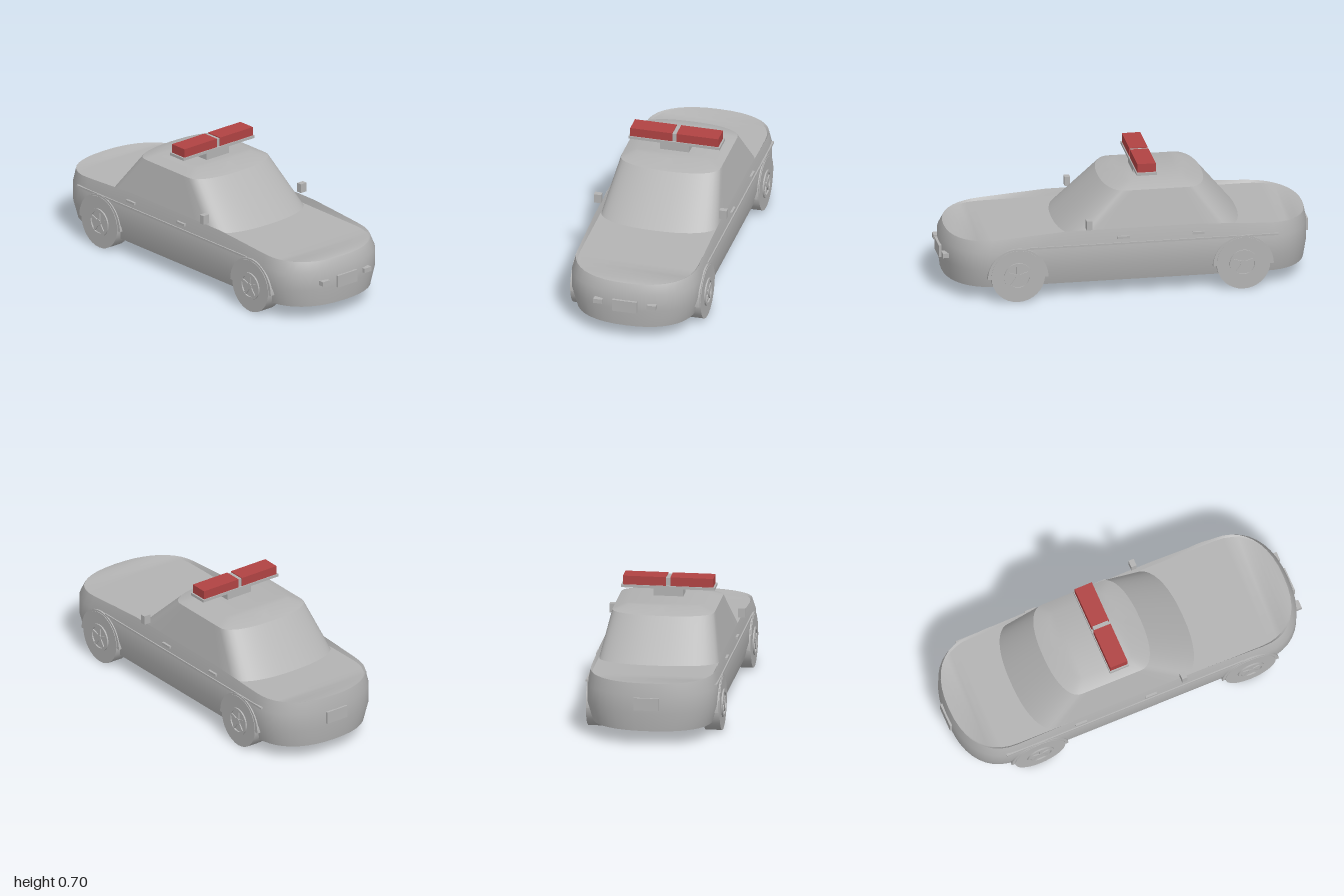
import * as THREE from 'three';
import { toCreasedNormals } from 'three/addons/utils/BufferGeometryUtils.js';

// Closed plan outline with rounded ends: half width w, ends zf / zr, end depths df / dr
function outline(w, zf, zr, df, dr, y, n = 10, sides = 8) {
  const e = 2 / 2.3, half = [];
  const arc = (k) => {
    const t = (k / n) * Math.PI / 2;
    return [Math.sin(t) ** e, Math.max(0, Math.cos(t)) ** e];
  };
  for (let k = 0; k <= n; k++) {
    const [s, c] = arc(k);
    half.push([k ? w * s : 0, zf - df + (k < n ? df * c : 0)]);
  }
  for (let k = 1; k < sides; k++) half.push([w, THREE.MathUtils.lerp(zf - df, zr + dr, k / sides)]);
  for (let k = n; k >= 0; k--) {
    const [s, c] = arc(k);
    half.push([k ? w * s : 0, zr + dr - (k < n ? dr * c : 0)]);
  }
  const mirrored = half.slice(1, -1).reverse().map(([x, z]) => [-x, z]);
  return [...half, ...mirrored].map(([x, z]) => [x, typeof y === 'function' ? y(z) : y, z]);
}

// Skin stacked outlines from bottom to top and close both ends
function loft(rings, crease) {
  const m = rings[0].length, index = [];
  const quad = (a, b, c, d) => index.push(a, b, c, a, c, d);
  for (let j = 0; j < rings.length - 1; j++)
    for (let i = 0; i < m; i++) {
      const k = (i + 1) % m, a = j * m, b = a + m;
      quad(a + i, a + k, b + k, b + i);
    }
  const top = (rings.length - 1) * m;
  for (let i = 0; i < m / 2; i++) {
    const l = (m - i) % m, l2 = m - i - 1;
    quad(top + i, top + i + 1, top + l2, top + l);
    quad(l, l2, i + 1, i);
  }
  const g = new THREE.BufferGeometry();
  g.setAttribute('position', new THREE.Float32BufferAttribute(rings.flat(2), 3));
  g.setIndex(index);
  return toCreasedNormals(g, crease);
}

export function createModel() {
  const car = new THREE.Group();
  car.name = 'patrolCar';
  const grey = new THREE.MeshStandardMaterial({ color: 0xb3b3b3 });
  grey.name = 'grey';
  const red = new THREE.MeshStandardMaterial({ color: 0xb04343 });
  red.name = 'lampRed';

  const add = (name, geo, mat = grey, parent = car) => {
    const mesh = new THREE.Mesh(geo, mat);
    mesh.name = name;
    parent.add(mesh);
    return mesh;
  };
  // Box given by its limits on each axis
  const box = (name, x0, x1, y0, y1, z0, z1, mat) =>
    add(name, new THREE.BoxGeometry(x1 - x0, y1 - y0, z1 - z0), mat)
      .position.set((x0 + x1) / 2, (y0 + y1) / 2, (z0 + z1) / 2);

  // Lower body, with slightly raised shoulders around the hood and trunk
  const shoulder = (z) => {
    if (z > 0.36) return 0.375 - 0.045 * (z - 0.36) / 0.6;
    if (z < -0.36) return 0.375 - 0.03 * (-0.36 - z) / 0.62;
    return 0.375;
  };
  add('body', loft([
    outline(0.323, 0.975, -0.975, 0.26, 0.26, 0.08),
    outline(0.351, 0.988, -0.99, 0.27, 0.27, 0.18),
    outline(0.351, 0.988, -0.99, 0.27, 0.27, 0.28),
    outline(0.334, 0.962, -0.978, 0.26, 0.26, shoulder),
    outline(0.324, 0.955, -0.972, 0.26, 0.26, (z) => 0.338 - 0.006 * z),
  ], 0.6));

  // Cabin with sloping glass and chamfered roof
  add('cabin', loft([
    outline(0.325, 0.385, -0.625, 0.14, 0.13, 0.33),
    outline(0.275, 0.13, -0.43, 0.11, 0.11, 0.565),
    outline(0.2, 0.035, -0.345, 0.06, 0.06, 0.593),
  ], 0.45));

  // Roof light bar
  box('lightBarFoot', -0.08, 0.08, 0.585, 0.637, -0.135, -0.05);
  box('lightBarTray', -0.252, 0.252, 0.636, 0.651, -0.15, -0.04);
  box('lightBarDivider', -0.012, 0.012, 0.65, 0.694, -0.14, -0.05);
  box('leftLamp', 0.012, 0.243, 0.651, 0.699, -0.145, -0.045, red);
  box('rightLamp', -0.243, -0.012, 0.651, 0.699, -0.145, -0.045, red);

  // Number plates
  box('frontPlate', -0.068, 0.068, 0.173, 0.24, 0.97, 1);
  box('rearPlate', -0.068, 0.068, 0.2, 0.268, -1, -0.97);

  // Shapes drawn in side view, extruded along x and centred on their thickness
  const sideways = (shape, depth) => new THREE.ExtrudeGeometry(shape,
    { depth, bevelEnabled: false, curveSegments: 20 }).translate(0, 0, -depth / 2).rotateY(Math.PI / 2);
  const archShape = new THREE.Shape();
  archShape.absarc(0, 0, 0.164, 0, Math.PI, false);
  archShape.absarc(0, 0, 0.14, Math.PI, 0, true);
  const rimShape = new THREE.Shape().absarc(0, 0, 0.076, 0, Math.PI * 2, false);
  rimShape.holes.push(new THREE.Path().absarc(0, 0, 0.06, 0, Math.PI * 2, true));

  const archGeo = toCreasedNormals(sideways(archShape, 0.04), 0.6);
  const rimGeo = toCreasedNormals(sideways(rimShape, 0.012), 0.6);
  const tyreGeo = new THREE.CylinderGeometry(0.145, 0.145, 0.088, 32).rotateZ(Math.PI / 2);
  const capGeo = new THREE.CylinderGeometry(0.018, 0.018, 0.012, 16).rotateZ(Math.PI / 2);
  const spokeGeo = new THREE.BoxGeometry(0.01, 0.062, 0.018).translate(0, 0.033, 0);

  for (const s of [1, -1]) {
    const side = s > 0 ? 'left' : 'right';
    const sideBox = (name, x0, x1, ...rest) =>
      box(side + name, Math.min(s * x0, s * x1), Math.max(s * x0, s * x1), ...rest);

    sideBox('Mirror', 0.326, 0.366, 0.386, 0.436, 0.22, 0.25);
    sideBox('Headlight', 0.123, 0.172, 0.204, 0.229, 0.94, 0.996);
    sideBox('FrontDoorHandle', 0.335, 0.354, 0.322, 0.335, 0.015, 0.08);
    sideBox('RearDoorHandle', 0.335, 0.354, 0.322, 0.335, -0.39, -0.325);
    sideBox('SideTrim', 0.34, 0.354, 0.29, 0.3, -0.79, 0.58);

    for (const [end, z] of [['Front', 0.62], ['Rear', -0.6]]) {
      add(side + end + 'Arch', archGeo).position.set(s * 0.337, 0.135, z);
      const wheel = new THREE.Group();
      wheel.name = side + end + 'Wheel';
      wheel.position.set(s * 0.316, 0.145, z);
      car.add(wheel);
      add('tyre', tyreGeo, grey, wheel);
      add('rim', rimGeo, grey, wheel).position.x = s * 0.046;
      add('hubCap', capGeo, grey, wheel).position.x = s * 0.046;
      for (let i = 0; i < 5; i++) {
        const spoke = add('spoke', spokeGeo, grey, wheel);
        spoke.position.x = s * 0.045;
        spoke.rotation.x = (i / 5) * Math.PI * 2;
      }
    }
  }
  return car;
}
